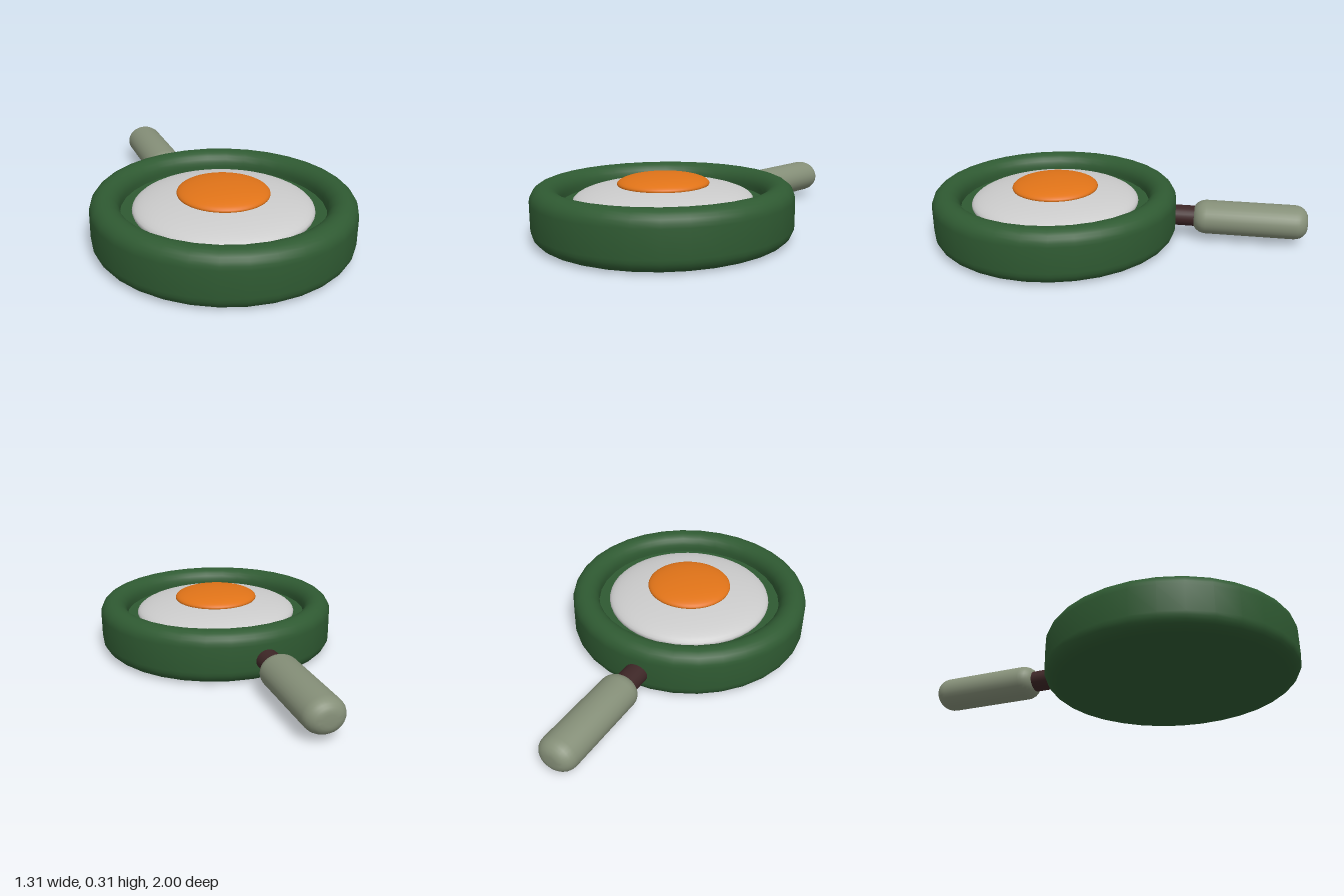
import * as THREE from 'three';
import { toCreasedNormals } from 'three/addons/utils/BufferGeometryUtils.js';

const PAN_Z = 0.345, HANDLE_X = -0.062, HANDLE_Y = 0.12;

function addMesh(group, name, geometry, color) {
  const mesh = new THREE.Mesh(geometry, new THREE.MeshStandardMaterial({ color }));
  mesh.name = name;
  group.add(mesh);
  return mesh;
}

// Points of an arc around (cx, cy), angles in degrees
function arc(cx, cy, r, from, to, steps = 6) {
  return Array.from({ length: steps + 1 }, (_, i) => {
    const a = THREE.MathUtils.degToRad(from + ((to - from) * i) / steps);
    return new THREE.Vector2(cx + r * Math.cos(a), cy + r * Math.sin(a));
  });
}

function lathe(points, segments) {
  return toCreasedNormals(new THREE.LatheGeometry(points, segments), Math.PI / 5);
}

export function createModel() {
  const group = new THREE.Group();
  group.name = 'fryingPanWithEgg';

  // Pan: rounded base, straight wall, round rim and sunken floor
  const pan = addMesh(group, 'pan', lathe([
    new THREE.Vector2(0, 0),
    ...arc(0.585, 0.07, 0.07, -90, 0),
    ...arc(0.582, 0.204, 0.073, 0, 180, 12),
    new THREE.Vector2(0.509, 0.18),
    new THREE.Vector2(0, 0.18),
  ], 32), 0x2f5a32);
  pan.position.z = PAN_Z;

  // Egg: flattened domes
  const white = addMesh(group, 'eggWhite', new THREE.SphereGeometry(1, 48, 24), 0xcccccc);
  white.scale.set(0.45, 0.085, 0.45);
  white.position.set(0, 0.19, PAN_Z);
  const yolk = addMesh(group, 'eggYolk', new THREE.SphereGeometry(1, 48, 24), 0xe07318);
  yolk.scale.set(0.23, 0.047, 0.23);
  yolk.position.set(0, 0.268, PAN_Z);

  // Neck joining the pan to the grip
  const neck = addMesh(group, 'handleNeck', new THREE.CylinderGeometry(0.0625, 0.0625, 0.22, 24), 0x3d2626);
  neck.rotation.x = -Math.PI / 2;
  neck.scale.z = 0.86;
  neck.position.set(HANDLE_X, HANDLE_Y, -0.33);

  // Grip: slightly oval rod with rounded ends
  const grip = addMesh(group, 'handleGrip', lathe([
    new THREE.Vector2(0, 0),
    ...arc(0.033, 0.07, 0.07, -90, 0),
    ...arc(0.033, 0.53, 0.07, 0, 90),
    new THREE.Vector2(0, 0.6),
  ], 32), 0x858f78);
  grip.rotation.x = -Math.PI / 2;
  grip.scale.z = 0.86;
  grip.position.set(HANDLE_X, HANDLE_Y, -0.4);

  return group;
}
